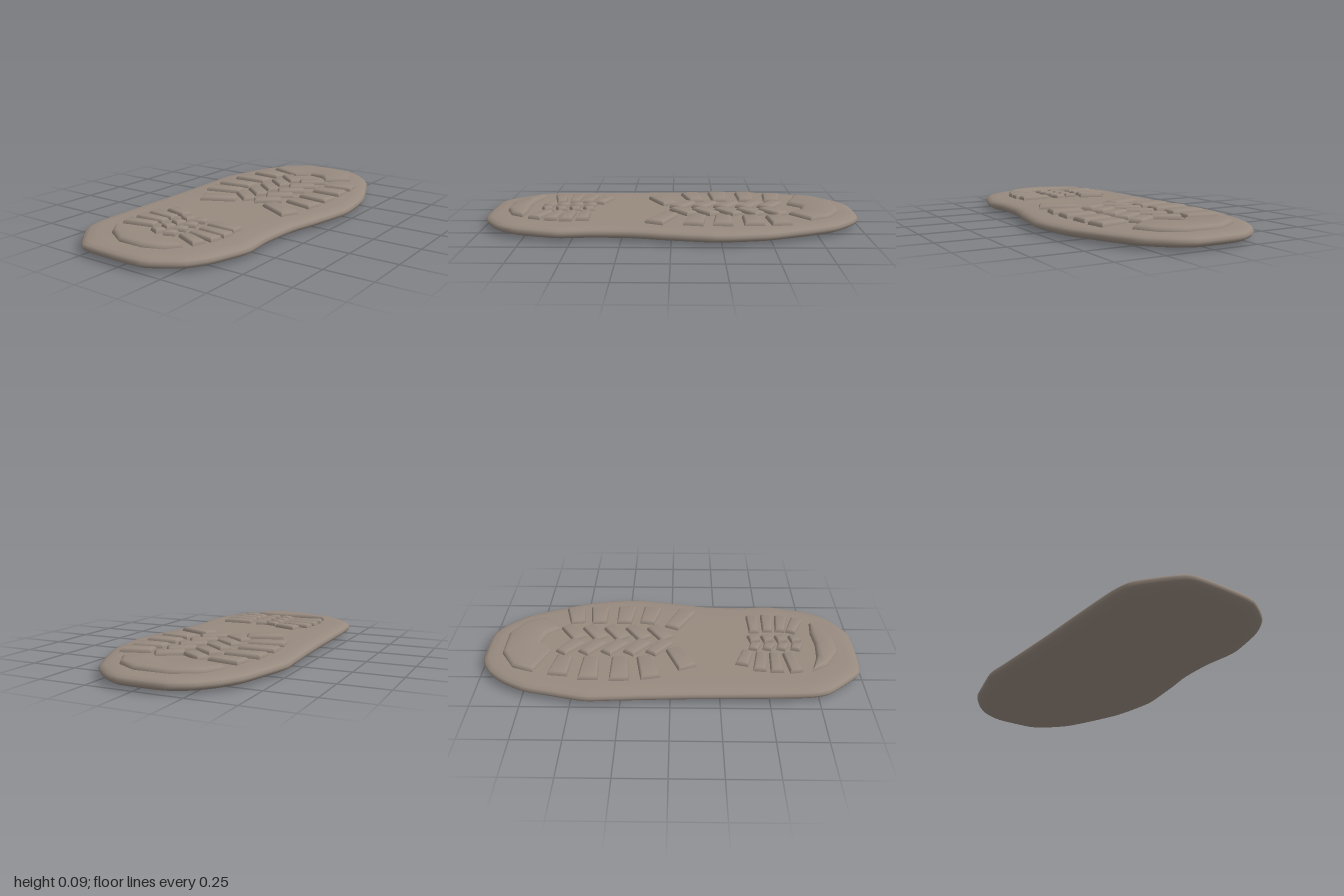
import * as THREE from 'three';
import { toCreasedNormals } from 'three/addons/utils/BufferGeometryUtils.js';

const clay = new THREE.MeshStandardMaterial({ color: 0x978a7f });
clay.name = 'taupe rubber';

// Sole outline as [x, z], clockwise seen from above
const OUTLINE = [
  [0.08, -1], [0.18, -0.95], [0.29, -0.84], [0.37, -0.68], [0.45, -0.48], [0.48, -0.3],
  [0.485, -0.2], [0.46, -0.05], [0.44, 0.06], [0.41, 0.2], [0.4, 0.4], [0.415, 0.57],
  [0.39, 0.68], [0.35, 0.8], [0.28, 0.9], [0.13, 0.99], [-0.05, 1], [-0.23, 0.99],
  [-0.3, 0.94], [-0.42, 0.8], [-0.45, 0.68], [-0.46, 0.4], [-0.465, 0.15], [-0.475, -0.1],
  [-0.485, -0.3], [-0.49, -0.43], [-0.45, -0.6], [-0.41, -0.75], [-0.34, -0.87],
  [-0.26, -0.95], [-0.15, -1],
];

// Edge profile from the middle of the underside to the middle of the top: [inset, y]
const PROFILE = [
  [0.45, 0], [0.3, 0.001], [0.15, 0.003], [0.06, 0.008], [0.025, 0.014], [0.006, 0.025],
  [0, 0.04], [0.008, 0.054], [0.028, 0.063], [0.07, 0.068], [0.2, 0.069], [0.45, 0.069],
];

function soleGeometry() {
  const curve = new THREE.CatmullRomCurve3(
    OUTLINE.map(([x, z]) => new THREE.Vector3(x, 0, z)), true, 'catmullrom', 0.35);
  const n = 124;
  const ring = curve.getPoints(n).slice(0, n);
  const pos = [], index = [];
  PROFILE.forEach(([inset, y], r) => {
    const sx = 1 - inset / 0.45, sz = inset > 0.4 ? 0 : 1 - inset;
    ring.forEach((p, i) => {
      pos.push(p.x * sx, y, p.z * sz);
      if (r === PROFILE.length - 1) return;
      const a = r * n + i, b = r * n + (i + 1) % n;
      index.push(a, a + n, b, b, a + n, b + n);
    });
  });
  const g = new THREE.BufferGeometry();
  g.setAttribute('position', new THREE.Float32BufferAttribute(pos, 3));
  g.setIndex(index);
  g.computeVertexNormals();
  return g;
}

// Raised pad from an [x, z] polygon, with soft sloping sides
function pad(name, points, bevel = 0.02, top = 0.09) {
  const shape = new THREE.Shape(points.map(([x, z]) => new THREE.Vector2(x, z)));
  const g = new THREE.ExtrudeGeometry(shape, {
    depth: 0.015, bevelThickness: 0.022, bevelSize: bevel, bevelOffset: -bevel, bevelSegments: 3,
  });
  g.rotateX(Math.PI / 2).translate(0, top - 0.022, 0);
  const mesh = new THREE.Mesh(toCreasedNormals(g, 0.8), clay);
  mesh.name = name;
  return mesh;
}

// Four-sided lug between two points, w0 and w1 being its widths at the ends
function lug(name, [x0, z0], [x1, z1], w0, w1, bevel = 0.016) {
  const dx = x1 - x0, dz = z1 - z0, len = Math.hypot(dx, dz);
  const nx = -dz / len / 2, nz = dx / len / 2;
  return pad(name, [
    [x0 + nx * w0, z0 + nz * w0], [x0 - nx * w0, z0 - nz * w0],
    [x1 - nx * w1, z1 - nz * w1], [x1 + nx * w1, z1 + nz * w1],
  ], bevel);
}

export function createModel() {
  const model = new THREE.Group();
  model.name = 'shoeSole';

  const sole = new THREE.Mesh(soleGeometry(), clay);
  sole.name = 'soleSlab';
  model.add(sole);

  // Toe and heel crescents
  model.add(pad('toeCrescent', [
    [-0.3, -0.71], [-0.26, -0.82], [-0.13, -0.9], [0.06, -0.9], [0.18, -0.83], [0.24, -0.72],
    [0.12, -0.62], [0.06, -0.69], [-0.03, -0.71], [-0.1, -0.64],
  ], 0.025));
  model.add(pad('heelCrescent', [
    [-0.28, 0.73], [-0.22, 0.82], [-0.1, 0.89], [0.04, 0.89], [0.14, 0.85], [0.19, 0.78],
    [0.08, 0.77], [-0.03, 0.78], [-0.15, 0.77],
  ], 0.025));

  // Side lugs of the forefoot: inner end, outer end
  const forefoot = new THREE.Group();
  forefoot.name = 'forefootSideLugs';
  [
    [[-0.16, -0.56], [-0.33, -0.58]], [[-0.17, -0.42], [-0.365, -0.42]],
    [[-0.17, -0.27], [-0.37, -0.26]], [[-0.16, -0.14], [-0.35, -0.1]],
    [[-0.08, 0.01], [-0.26, 0.09]],
    [[0.18, -0.53], [0.34, -0.56]], [[0.18, -0.41], [0.35, -0.42]],
    [[0.18, -0.27], [0.355, -0.26]], [[0.18, -0.14], [0.35, -0.11]],
    [[0.13, 0.0], [0.32, 0.09]],
  ].forEach(([a, b]) => forefoot.add(lug('sideLug', a, b, 0.085, 0.105)));
  model.add(forefoot);

  // Chevron pairs down the middle of the forefoot
  const chevrons = new THREE.Group();
  chevrons.name = 'forefootChevrons';
  for (const z of [-0.53, -0.41, -0.29, -0.17, -0.05]) {
    for (const s of [-1, 1]) {
      chevrons.add(lug('chevron', [0.005 + s * 0.01, z + 0.03], [0.005 + s * 0.135, z - 0.06], 0.085, 0.07));
    }
  }
  model.add(chevrons);

  // Side lugs and small centre studs of the heel
  const heel = new THREE.Group();
  heel.name = 'heelLugs';
  [
    [[-0.1, 0.41], [-0.23, 0.37]], [[-0.12, 0.48], [-0.28, 0.46]],
    [[-0.12, 0.55], [-0.29, 0.55]], [[-0.12, 0.62], [-0.29, 0.65]],
    [[0.09, 0.46], [0.26, 0.46]], [[0.1, 0.535], [0.27, 0.545]],
    [[0.1, 0.605], [0.26, 0.625]], [[0.09, 0.66], [0.23, 0.715]],
  ].forEach(([a, b]) => heel.add(lug('heelSideLug', a, b, 0.055, 0.07, 0.013)));
  for (let i = 0; i < 4; i++) {
    for (const s of [-1, 1]) {
      const x = -0.015 + s * 0.01, z = 0.46 + i * 0.075;
      heel.add(lug('heelStud', [x, z], [x + s * 0.06, z - 0.02], 0.06, 0.05, 0.012));
    }
  }
  model.add(heel);

  return model;
}
